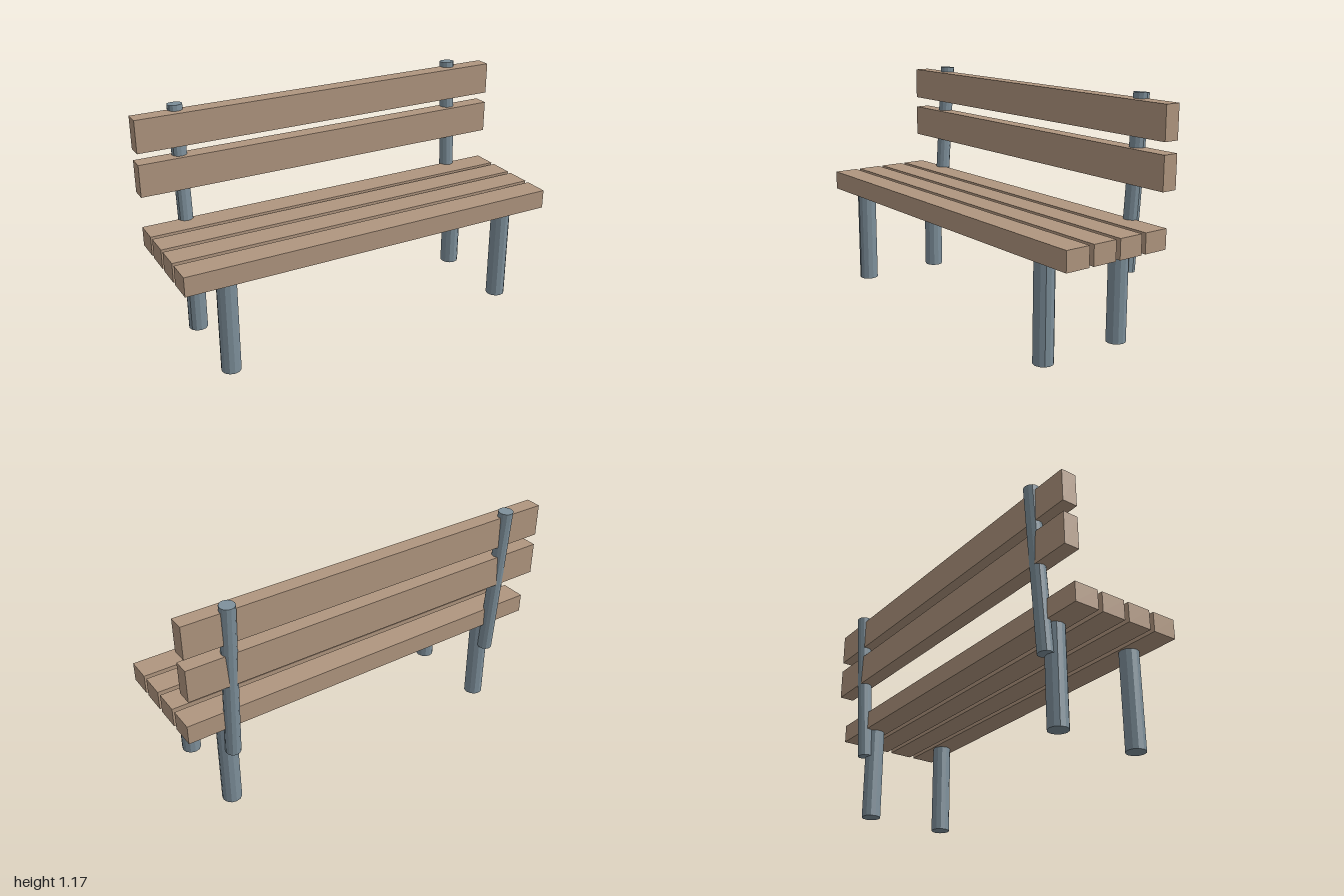
import * as THREE from 'three';

export function createModel() {
  const bench = new THREE.Group();
  bench.name = 'bench';

  const wood = new THREE.MeshStandardMaterial({ color: 0xb0967f, flatShading: true });
  wood.name = 'wood';
  const steel = new THREE.MeshStandardMaterial({ color: 0x7d8f9a, flatShading: true });
  steel.name = 'steel';

  const add = (name, geometry, material, x, y, z) => {
    const mesh = new THREE.Mesh(geometry, material);
    mesh.name = name;
    mesh.position.set(x, y, z);
    bench.add(mesh);
    return mesh;
  };

  // Four seat planks, front to back
  const seatPlank = new THREE.BoxGeometry(2, 0.098, 0.128);
  for (let i = 0; i < 4; i++) add('seatPlank' + (i + 1), seatPlank, wood, 0, 0.535, 0.269 - i * 0.1527);

  // Two backrest planks
  const backPlank = new THREE.BoxGeometry(2, 0.165, 0.08);
  add('lowerBackPlank', backPlank, wood, 0, 0.834, -0.26);
  add('upperBackPlank', backPlank, wood, 0, 1.056, -0.26);

  // Round legs and leaning backrest posts, mirrored left and right
  const legHeight = 0.486;
  const leg = new THREE.CylinderGeometry(0.049, 0.049, legHeight, 12);
  const postBottom = new THREE.Vector2(-0.239, 0.335); // (z, y)
  const postTop = new THREE.Vector2(-0.294, 1.165);
  const post = new THREE.CylinderGeometry(0.038, 0.038, postBottom.distanceTo(postTop), 12);
  for (const [side, x] of [['left', 0.778], ['right', -0.778]]) {
    add(side + 'FrontLeg', leg, steel, x, legHeight / 2, 0.262);
    add(side + 'RearLeg', leg, steel, x, legHeight / 2, -0.182);
    const middle = postBottom.clone().lerp(postTop, 0.5);
    const mesh = add(side + 'BackPost', post, steel, x, middle.y, middle.x);
    mesh.rotation.x = Math.atan2(postTop.x - postBottom.x, postTop.y - postBottom.y);
  }
  return bench;
}
